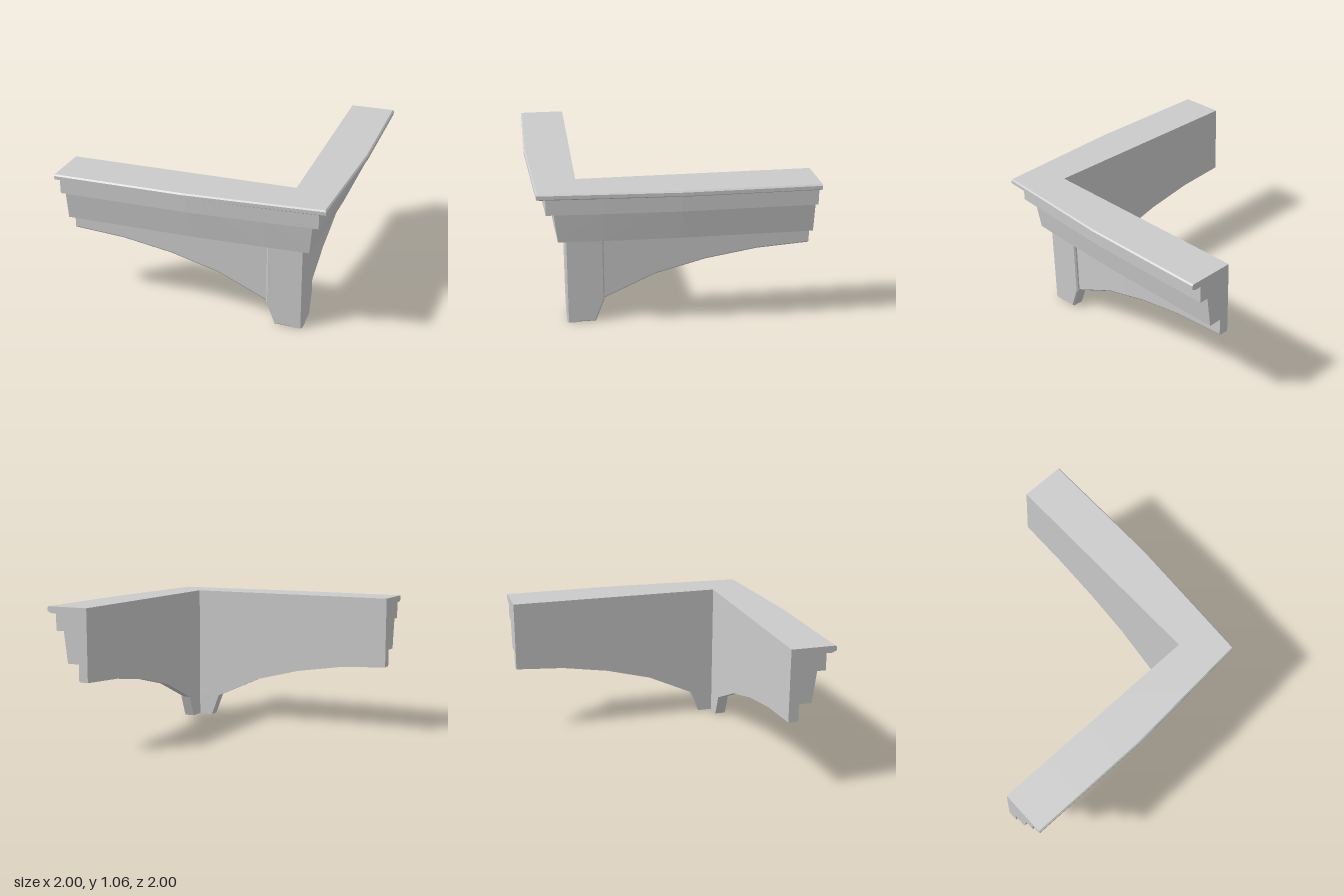
import * as THREE from 'three';

const INNER = 0.66; // inner wall plane of both arms
const material = new THREE.MeshStandardMaterial({ color: 0xcccccc, flatShading: true });

// Joins rings of points into a faceted skin; swap mirrors it across the x = z diagonal.
function loft(name, rings, plane, capStart, capEnd, swap) {
  const positions = [];
  const tri = (a, b, c) => {
    for (const p of swap ? [a, c, b] : [a, b, c]) {
      positions.push(...(swap ? [p.z, p.y, p.x] : [p.x, p.y, p.z]));
    }
  };
  for (let i = 0; i < rings.length - 1; i++) {
    const n = rings[i].length;
    for (let j = 0; j < n; j++) {
      const k = (j + 1) % n;
      const a = rings[i][j], b = rings[i][k], c = rings[i + 1][k], d = rings[i + 1][j];
      tri(a, d, b);
      tri(b, d, c);
    }
  }
  const cap = (ring, flip) => {
    for (const [a, b, c] of THREE.ShapeUtils.triangulateShape(ring.map(plane), [])) {
      if (flip) tri(ring[a], ring[c], ring[b]);
      else tri(ring[a], ring[b], ring[c]);
    }
  };
  if (capStart) cap(rings[0], false);
  if (capEnd) cap(rings[rings.length - 1], true);

  const geometry = new THREE.BufferGeometry();
  geometry.setAttribute('position', new THREE.Float32BufferAttribute(positions, 3));
  geometry.computeVertexNormals();
  const mesh = new THREE.Mesh(geometry, material);
  mesh.name = name;
  return mesh;
}

// Moulding section: distance out from the inner wall, height
const section = (bottom) => [
  [0, bottom], [0.067, bottom], [0.075, bottom + 0.01], // arched panel
  [0.075, 0.65], [0.17, 0.65], [0.2, 0.885],            // sloped band
  [0.265, 0.885], [0.265, 1.01],                        // frieze
  [0.31, 1.01], [0.34, 1.025], [0.34, 1.05], [0.33, 1.06], [0, 1.06], // cap
];

// One arm: the arch drops toward the corner, where the section shrinks to a mitre
function arm(name, swap) {
  const CORNER_SCALE = 0.82;
  const stations = [[-1, 0.52], [-0.62, 0.495], [-0.25, 0.435], [-0.05, 0.382], [0.11, 0.34], [0.48, 0.17]];
  const rings = stations.map(([x, bottom]) => {
    const t = Math.max(0, (x + 0.05) / 0.99);
    const scale = 1 + (CORNER_SCALE - 1) * t;
    return section(bottom).map(([u, y]) => new THREE.Vector3(x, y, INNER + u * scale));
  });
  rings.push(section(0.18).map(([u, y]) => {
    const p = INNER + u * CORNER_SCALE;
    return new THREE.Vector3(p, y, p);
  }));
  return loft(name, rings, (p) => new THREE.Vector2(p.z, p.y), true, false, swap);
}

// Half of the corner leg: tapered foot, chamfered around its outer face
function legHalf(name, swap) {
  const c = 0.01;
  const outline = [[0.48, 0.66], [0.75, 0.66], [0.75, 0], [0.545, 0], [0.48, 0.17]];
  const inset = [[0.48 + c, 0.66], [0.75 - c, 0.66], [0.75 - c, c], [0.545 + c * 0.7, c], [0.48 + c, 0.17 + c * 0.2]];
  const ring = (points, z) => points.map(([x, y]) => new THREE.Vector3(x, y, z));
  const rings = [ring(outline, INNER), ring(outline, 0.75 - c), ring(inset, 0.75)];
  return loft(name, rings, (p) => new THREE.Vector2(-p.x, p.y), true, true, swap);
}

export function createModel() {
  const model = new THREE.Group();
  model.name = 'cornerCornice';
  model.add(arm('frontArm', false), arm('sideArm', true));

  const leg = new THREE.Group();
  leg.name = 'cornerLeg';
  leg.add(legHalf('frontLegHalf', false), legHalf('sideLegHalf', true));
  model.add(leg);
  return model;
}
